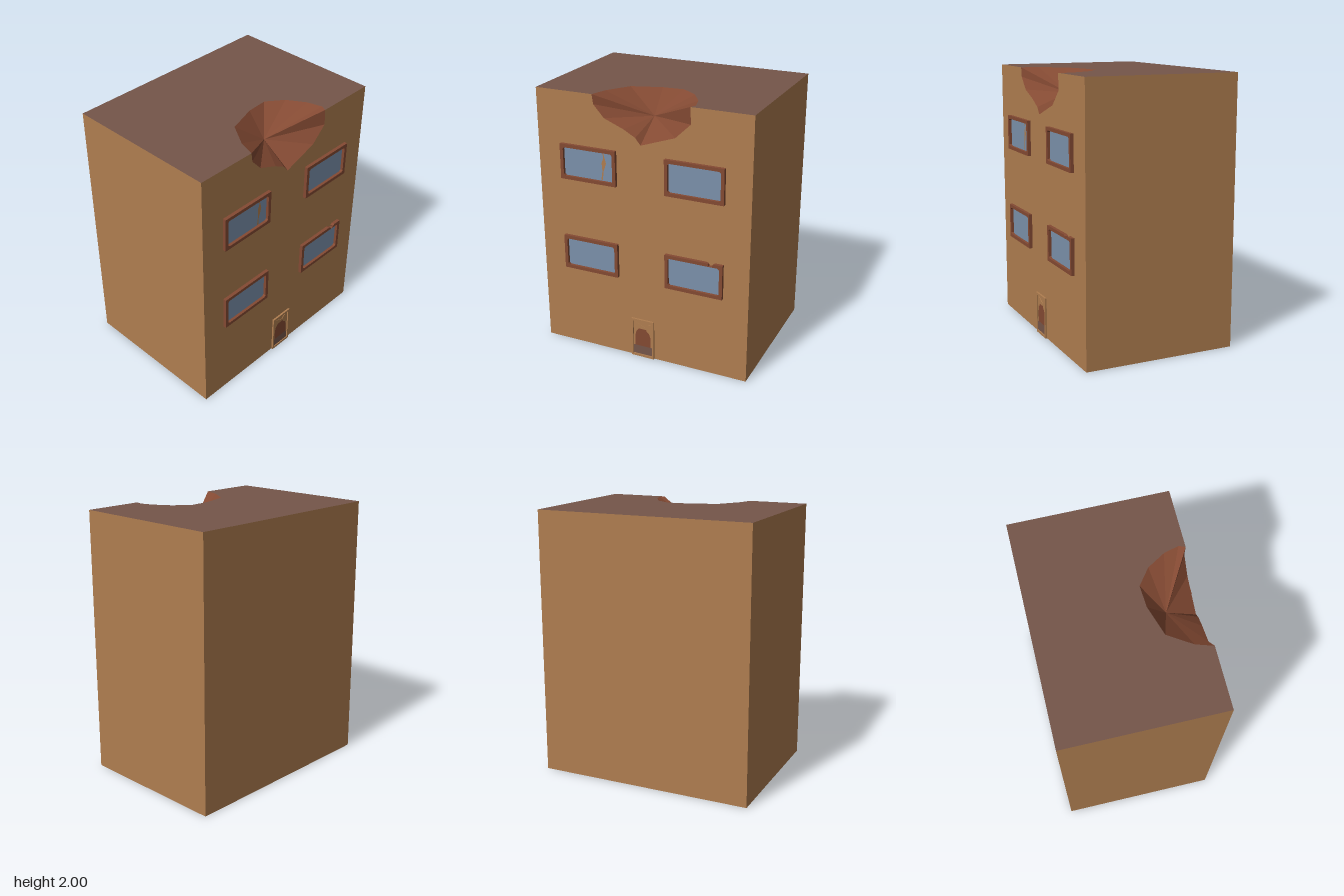
import * as THREE from 'three';

const W = 0.82, H = 2, ZF = 0.565, ZB = -0.59;

const material = (name, color) => {
  const m = new THREE.MeshStandardMaterial({ color });
  m.name = name;
  return m;
};
const wallMat = material('tan wall', 0xb07e50);
const roofMat = material('grey brown roof', 0x75564a);
const redMat = material('red brown', 0x844a33);
const glassMat = material('blue glass', 0x7b91ab);

const toShape = pts => new THREE.Shape(pts.map(([x, y]) => new THREE.Vector2(x, y)));
const rect = (x0, y0, x1, y1) => [[x0, y0], [x1, y0], [x1, y1], [x0, y1]];

// Rectangle with small cut corners
const cutRect = (x0, y0, x1, y1, c) => [
  [x0 + c, y0], [x1 - c, y0], [x1, y0 + c], [x1, y1 - c],
  [x1 - c, y1], [x0 + c, y1], [x0, y1 - c], [x0, y0 + c],
];

function add(parent, name, geometry, mat) {
  const mesh = new THREE.Mesh(geometry, mat);
  mesh.name = name;
  parent.add(mesh);
  return mesh;
}

// Flat face lying just in front of the facade
function plate(parent, name, pts, mat, lift) {
  const mesh = add(parent, name, new THREE.ShapeGeometry(toShape(pts)), mat);
  mesh.position.z = ZF + lift;
}

// Raised surround with an opening
function surround(parent, name, outer, inner, depth, mat) {
  const shape = toShape(outer);
  shape.holes.push(toShape(inner));
  const geometry = new THREE.ExtrudeGeometry(shape, { depth, bevelEnabled: false });
  add(parent, name, geometry, mat).position.z = ZF;
}

// Broken edge: down the facade from left to right, then back across the roof
const facadeRim = [
  [-0.37, 2], [-0.36, 1.93], [-0.28, 1.84], [-0.13, 1.78], [-0.04, 1.73],
  [0, 1.68], [0.26, 1.77], [0.375, 1.88], [0.37, 2],
];
const roofRim = [
  [0.39, 0.52], [0.36, 0.41], [0.28, 0.28], [0.16, 0.19],
  [0, 0.2], [-0.22, 0.27], [-0.33, 0.44],
];

function buildWalls(group) {
  const facade = [[-W, 0], [W, 0], [W, H], ...[...facadeRim].reverse(), [-W, H]];
  plate(group, 'frontWall', facade, wallMat, 0);

  const depth = ZF - ZB, zMid = (ZF + ZB) / 2;
  const back = add(group, 'backWall', new THREE.PlaneGeometry(2 * W, H), wallMat);
  back.rotation.y = Math.PI;
  back.position.set(0, H / 2, ZB);
  for (const s of [-1, 1]) {
    const side = add(group, s > 0 ? 'leftWall' : 'rightWall', new THREE.PlaneGeometry(depth, H), wallMat);
    side.rotation.y = s * Math.PI / 2;
    side.position.set(s * W, H / 2, zMid);
  }
  const base = add(group, 'base', new THREE.PlaneGeometry(2 * W, depth), wallMat);
  base.rotation.x = Math.PI / 2;
  base.position.z = zMid;

  // Roof with the broken front edge, drawn in x and -z
  const outline = [
    [-W, -ZF], [-0.37, -ZF], ...[...roofRim].reverse().map(([x, z]) => [x, -z]),
    [0.37, -ZF], [W, -ZF], [W, -ZB], [-W, -ZB],
  ];
  const roof = add(group, 'roof', new THREE.ShapeGeometry(toShape(outline)), roofMat);
  roof.rotation.x = -Math.PI / 2;
  roof.position.y = H;
}

// Hollow left by the damage: a fan from its deepest point to the rim
function buildCrater(group) {
  const deep = [0, 1.83, 0.34];
  const rim = [
    ...facadeRim.map(([x, y]) => [x, y, ZF]),
    ...roofRim.map(([x, z]) => [x, H, z]),
  ];
  const positions = rim.flatMap((p, i) => [...deep, ...p, ...rim[(i + 1) % rim.length]]);
  const geometry = new THREE.BufferGeometry();
  geometry.setAttribute('position', new THREE.Float32BufferAttribute(positions, 3));
  geometry.computeVertexNormals();
  add(group, 'brokenCorner', geometry, redMat);
}

function buildWindow(group, x0, y0, chipped) {
  const x1 = x0 + 0.443, y1 = y0 + 0.265, t = 0.025;
  const win = new THREE.Group();
  win.name = 'window';
  const outer = rect(x0, y0, x1, y1);
  // Chip broken out of the top of the frame
  if (chipped) {
    outer.splice(3, 0, [0.565, y1], [0.55, y1 - 0.012], [0.555, y1 - 0.022],
      [0.525, y1 - 0.022], [0.52, y1 - 0.008], [0.5, y1]);
  }
  const inner = [x0 + t, y0 + t, x1 - t, y1 - t];
  surround(win, 'windowFrame', outer, cutRect(...inner, 0.012), 0.025, redMat);
  plate(win, 'glass', rect(...inner), glassMat, 0.004);
  group.add(win);
}

function buildDoor(group) {
  const door = new THREE.Group();
  door.name = 'door';
  surround(door, 'doorFrame', rect(-0.093, 0, 0.09, 0.315), rect(-0.079, 0.018, 0.076, 0.298), 0.014, wallMat);
  // Panel with a splintered top edge
  const panel = toShape([
    [-0.079, 0.018], [0.076, 0.018], [0.076, 0.29], [0.035, 0.275],
    [0.015, 0.25], [-0.02, 0.265], [-0.079, 0.295],
  ]);
  add(door, 'doorPanel', new THREE.ExtrudeGeometry(panel, { depth: 0.004, bevelEnabled: false }), wallMat)
    .position.z = ZF;
  plate(door, 'doorHole', [
    [-0.068, 0.07], [0.062, 0.07], [0.06, 0.17], [0.05, 0.205], [0.03, 0.22],
    [0.025, 0.235], [-0.035, 0.235], [-0.055, 0.21], [-0.066, 0.17],
  ], redMat, 0.006);
  plate(door, 'rubble', rect(-0.078, 0.02, 0.072, 0.09), roofMat, 0.008);
  group.add(door);
}

export function createModel() {
  const group = new THREE.Group();
  group.name = 'damagedBuilding';
  buildWalls(group);
  buildCrater(group);
  for (const y of [0.635, 1.35]) {
    buildWindow(group, -0.633, y, false);
    buildWindow(group, 0.187, y, y < 1);
  }
  // Crack through the upper glass
  plate(group, 'glassCrack', [
    [-0.31, 1.385], [-0.297, 1.38], [-0.293, 1.44], [-0.27, 1.51], [-0.28, 1.55],
    [-0.29, 1.585], [-0.295, 1.58], [-0.29, 1.55], [-0.305, 1.51], [-0.3, 1.45],
  ], wallMat, 0.008);
  buildDoor(group);
  return group;
}
